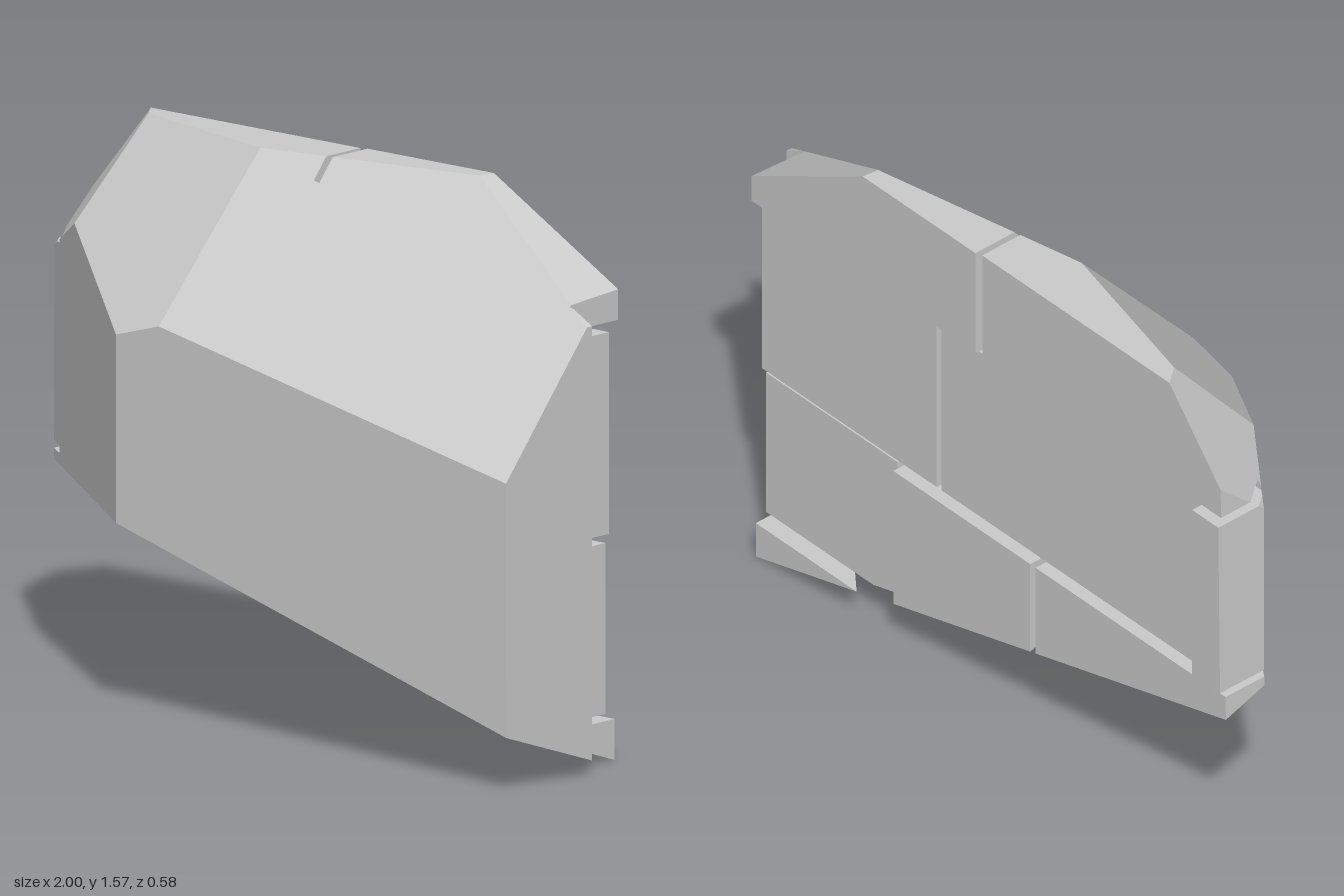
import * as THREE from 'three';
import { ConvexGeometry } from 'three/addons/geometries/ConvexGeometry.js';

const V = (x, y, z) => new THREE.Vector3(x, y, z);
const CORE = V(0, 0.8, 0); // a point inside every cutting plane

// Plane through three points, turned so that the core lies behind it
function cut(a, b, c) {
  const p = new THREE.Plane().setFromCoplanarPoints(V(...a), V(...b), V(...c));
  return p.distanceToPoint(CORE) > 0 ? p.negate() : p;
}

// Facets that dress the whole boulder
const FACETS = [
  cut([-0.41, 0.57, 0.287], [-0.25, 1.14, 0.285], [1, 0.88, 0.26]),        // front
  cut([-0.4, 0.57, 0.287], [-0.4, 1.095, 0.287], [-1, 0.9, -0.13]),        // front side
  cut([-0.25, 1.14, 0.285], [1, 0.88, 0.26], [-0.22, 1.577, -0.1]),        // main slope
  cut([-0.4, 1.095, 0.287], [-0.22, 1.577, -0.1], [-0.8, 1.3, 0.008]),     // side slope
  cut([-0.78, 1.577, -0.28], [-0.99, 1.33, -0.28], [-0.8, 1.3, 0.008]),    // side corner
  cut([0.46, 1.577, -0.235], [1, 1.26, -0.065], [0.92, 1.32, -0.285]),     // opposite corner
  cut([1, 0.172, 0.26], [1, 0.052, -0.09], [-0.41, 0.572, 0.287]),         // underside
  cut([-1, 0.59, -0.13], [-1, 0.545, -0.27], [-0.99, 1.33, -0.28]),        // thin end
];

// Convex solid: a box range trimmed by all facets
function trimmed([x0, x1], [y0, y1], [z0, z1]) {
  const planes = [...FACETS];
  [[x0, x1], [y0, y1], [z0, z1]].forEach(([lo, hi], i) => {
    const n = V(0, 0, 0).setComponent(i, 1);
    planes.push(new THREE.Plane(n.clone(), -hi), new THREE.Plane(n.clone().negate(), lo));
  });
  const points = [];
  for (let i = 0; i < planes.length; i++)
    for (let j = i + 1; j < planes.length; j++)
      for (let k = j + 1; k < planes.length; k++) {
        const [a, b, c] = [planes[i], planes[j], planes[k]];
        const bc = b.normal.clone().cross(c.normal);
        const det = a.normal.dot(bc);
        if (Math.abs(det) < 1e-5) continue;
        const p = bc.multiplyScalar(-a.constant)
          .addScaledVector(c.normal.clone().cross(a.normal), -b.constant)
          .addScaledVector(a.normal.clone().cross(b.normal), -c.constant)
          .divideScalar(det);
        if (planes.some(q => q.distanceToPoint(p) > 1e-5)) continue;
        if (!points.some(q => q.distanceTo(p) < 1e-3)) points.push(p);
      }
  return new ConvexGeometry(points);
}

export function createModel() {
  const group = new THREE.Group();
  const material = new THREE.MeshStandardMaterial({ color: 0xcccccc, flatShading: true });
  const add = (name, x, y, z) => {
    const mesh = new THREE.Mesh(trimmed(x, y, z), material);
    mesh.name = name;
    group.add(mesh);
  };

  // Solid faceted front
  const BACK = -0.09, TOP = 1.577;
  add('body', [-1.1, 1], [-0.1, TOP], [BACK, 0.4]);

  // Rows of blocks on the back: height range, then [x0, x1, back z] for each block
  const rows = [
    { name: 'topBlock', y: [1.235, TOP], blocks: [[-1.1, -0.015, -0.28], [0.005, 0.92, -0.287]] },
    { name: 'middleBlock', y: [0.645, 1.207], blocks: [[-1.1, -0.885, -0.29], [-0.885, 0.185, -0.25], [0.205, 0.92, -0.25]] },
    { name: 'lowerBlock', y: [0.146, 0.622], blocks: [[-1.1, -0.222, -0.27], [-0.2, 0.36, -0.27], [0.382, 0.92, -0.235]] },
    { name: 'bottomBlock', y: [-0.1, 0.126], blocks: [[0.3, 0.92, -0.272]] },
  ];
  for (const { name, y, blocks } of rows)
    blocks.forEach(([x0, x1, z], i) => add(name + (i + 1), [x0, x1], y, [z, BACK]));

  return group;
}
